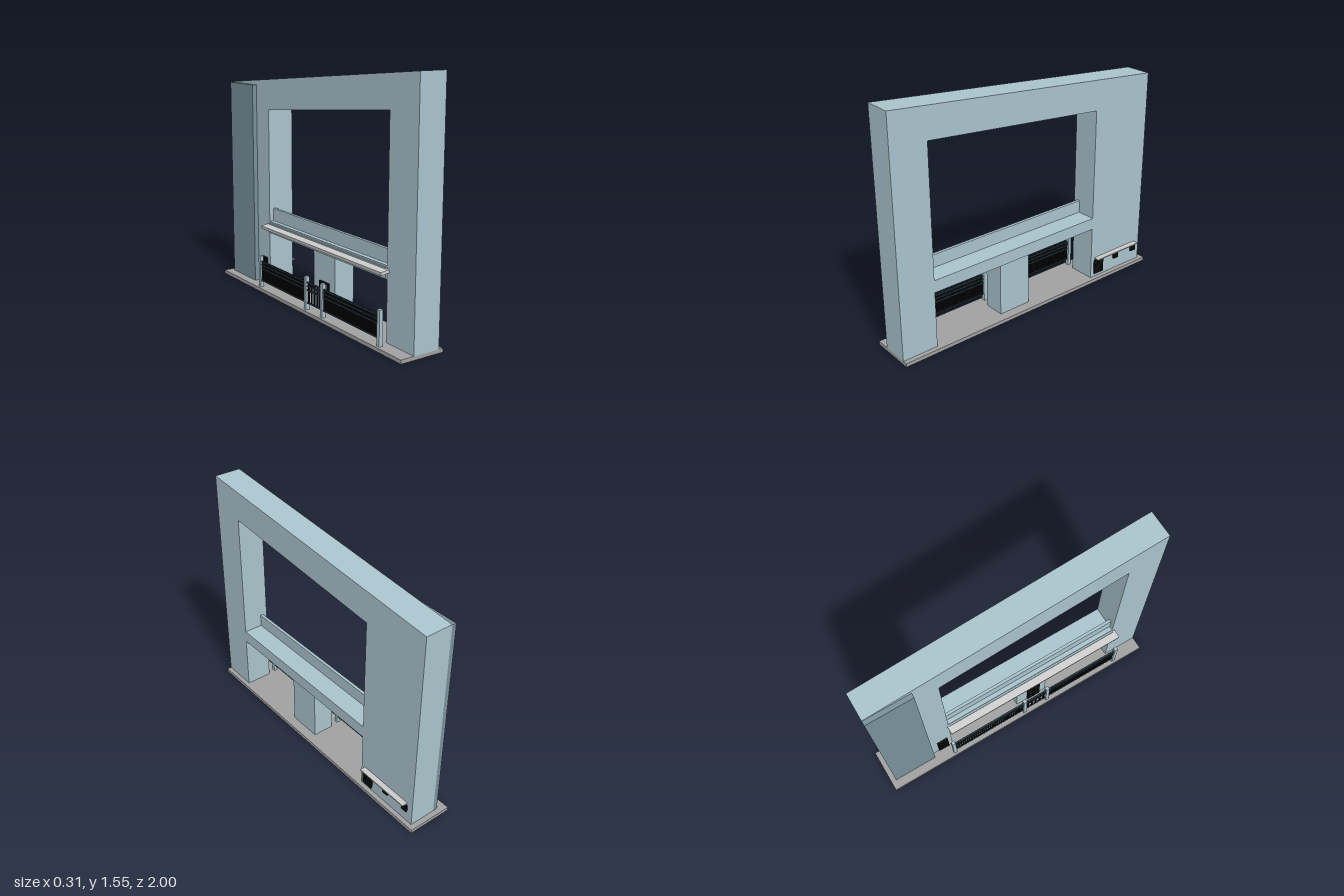
import * as THREE from 'three';

const mat = (name, color) => {
  const m = new THREE.MeshStandardMaterial({ color });
  m.name = name;
  return m;
};

export function createModel() {
  const root = new THREE.Group();
  root.name = 'gateway';
  const wall = mat('pale blue wall', 0xa9c3cc);
  const slate = mat('slate panel', 0x78909a);
  const stone = mat('grey base', 0xa0a0a0);
  const trim = mat('light trim', 0xcacaca);
  const iron = mat('black iron', 0x0c0c0c);
  const rail = mat('dark blue rail', 0x2a3c48);

  // box given by its extents on each axis
  const box = (name, m, x0, x1, y0, y1, z0, z1, parent = root) => {
    const mesh = new THREE.Mesh(new THREE.BoxGeometry(x1 - x0, y1 - y0, z1 - z0), m);
    mesh.position.set((x0 + x1) / 2, (y0 + y1) / 2, (z0 + z1) / 2);
    mesh.name = name;
    parent.add(mesh);
    return mesh;
  };
  const group = (name) => {
    const g = new THREE.Group();
    g.name = name;
    root.add(g);
    return g;
  };

  box('base', stone, -0.155, 0.145, 0.001, 0.025, -1, 1);

  // sloping frame: outline in (-z, y) with a doorway notch and a large opening
  const points = (list) => list.map(([z, y]) => new THREE.Vector2(-z, y));
  const outline = new THREE.Shape(points([
    [1, 0.025], [0.76, 0.025], [0.76, 0.395], [-0.505, 0.395], [-0.505, 0.025],
    [-0.965, 0.025], [-0.965, 1.385], [1, 1.555],
  ]));
  outline.holes.push(new THREE.Path(points([
    [0.76, 0.475], [0.76, 1.335], [-0.505, 1.225], [-0.505, 0.475],
  ])));
  const frameGeo = new THREE.ExtrudeGeometry(outline, { depth: 0.18, bevelEnabled: false });
  frameGeo.rotateY(Math.PI / 2).translate(-0.065, 0, 0);
  const frame = new THREE.Mesh(frameGeo, wall);
  frame.name = 'frame';
  root.add(frame);

  box('pillar', wall, -0.06, 0.08, 0, 0.395, 0.02, 0.25);
  box('parapet', wall, -0.035, -0.015, 0.475, 0.56, -0.505, 0.76);
  box('sidePanel', slate, -0.095, -0.065, 0.025, 1.38, -0.965, -0.66);

  // tilted canopy over the entrance with its backing strip
  box('canopyBacking', wall, -0.076, -0.065, 0.4, 0.465, -0.505, 0.76);
  box('canopy', trim, -0.125, -0.066, 0.434, 0.454, -0.515, 0.78).rotation.z = 0.13;

  // fence posts, rails and bars
  for (const z of [-0.52, 0.04, 0.22, 0.78]) {
    box('fencePost', wall, -0.14, -0.115, 0.025, 0.24, z - 0.012, z + 0.012);
  }
  const fence = (name, z0, z1, count) => {
    const g = group(name);
    for (const y of [0.072, 0.155, 0.18, 0.203]) {
      box('rail', rail, -0.134, -0.122, y - 0.004, y + 0.004, z0, z1, g);
    }
    for (let i = 0; i < count; i++) {
      const z = z0 + ((i + 0.5) / count) * (z1 - z0);
      box('bar', iron, -0.132, -0.124, 0.068, 0.207, z - 0.005, z + 0.005, g);
    }
  };
  fence('backFence', -0.508, 0.028, 32);
  fence('frontFence', 0.232, 0.768, 32);
  fence('gate', 0.052, 0.208, 5);

  // iron grid with a border, used for doors and window grilles
  const grid = (name, x0, x1, y0, y1, z0, z1, cols, rows, t) => {
    const g = group(name);
    for (let i = 0; i <= cols; i++) {
      const z = z0 + t / 2 + (i / cols) * (z1 - z0 - t);
      box('upright', iron, x0, x1, y0, y1, z - t / 2, z + t / 2, g);
    }
    for (let i = 0; i <= rows; i++) {
      const y = y0 + t / 2 + (i / rows) * (y1 - y0 - t);
      box('crossbar', iron, x0 + 0.001, x1 - 0.001, y - t / 2, y + t / 2, z0, z1, g);
    }
  };
  grid('sideDoor', -0.078, -0.066, 0.05, 0.215, -0.612, -0.535, 3, 4, 0.01);
  grid('pillarDoor', -0.074, -0.061, 0.05, 0.22, 0.1, 0.195, 2, 3, 0.012);
  grid('largeGrille', 0.116, 0.128, 0.05, 0.152, -0.61, -0.53, 5, 6, 0.012);
  grid('middleGrille', 0.116, 0.128, 0.105, 0.152, -0.755, -0.712, 3, 3, 0.01);
  grid('rearGrille', 0.116, 0.128, 0.105, 0.152, -0.925, -0.882, 3, 3, 0.01);
  box('grilleCanopy', trim, 0.114, 0.153, 0.162, 0.17, -0.92, -0.535);

  return root;
}
